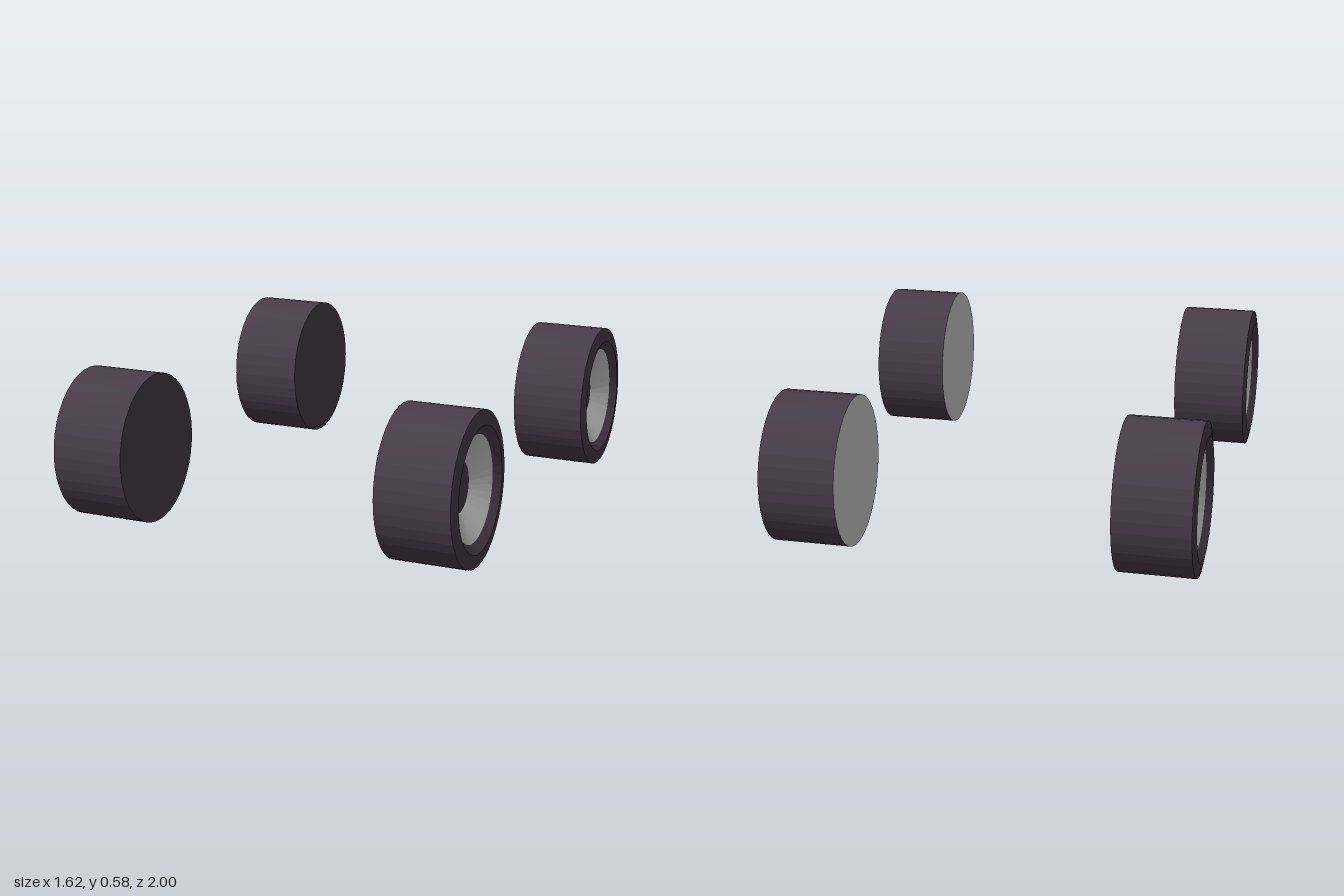
import * as THREE from 'three';

const SEGMENTS = 40;
const RADIUS = 0.29;      // vertical radius
const DEPTH_RADIUS = 0.27; // wheels are slightly oval along z

const rubber = new THREE.MeshStandardMaterial({ color: 0x463d48, flatShading: true });
const metal = new THREE.MeshStandardMaterial({ color: 0xcccccc, flatShading: true });

// Surface of revolution from [radius, distance along axle] pairs
function turned(name, profile, material) {
  const points = profile.map(([r, d]) => new THREE.Vector2(r, d));
  const mesh = new THREE.Mesh(new THREE.LatheGeometry(points, SEGMENTS), material);
  mesh.name = name;
  return mesh;
}

function createWheel(side, z, name) {
  const wheel = new THREE.Group();
  wheel.name = name;
  wheel.add(
    // Tread, bevelled sidewall and inner lip
    turned('tire', [[RADIUS, 0.51], [RADIUS, 0.80], [0.235, 0.81], [0.2, 0.785]], rubber),
    // Conical dish and the flat disc at its bottom
    turned('rimDish', [[0.2, 0.785], [0.095, 0.73]], metal),
    turned('hub', [[0.095, 0.73], [0, 0.73]], rubber),
    // Closed inner face, bare on the left wheels
    turned('innerFace', [[0, 0.51], [RADIUS, 0.51]], side > 0 ? metal : rubber)
  );
  // Axle along x, outer face away from the centre
  wheel.rotation.z = -side * Math.PI / 2;
  wheel.scale.z = DEPTH_RADIUS / RADIUS;
  wheel.position.set(0, RADIUS, z);
  return wheel;
}

export function createModel() {
  const model = new THREE.Group();
  model.name = 'wheelSet';
  for (const [sideName, side] of [['Left', 1], ['Right', -1]]) {
    for (const [endName, end] of [['front', 1], ['rear', -1]]) {
      model.add(createWheel(side, end * 0.73, `${endName}${sideName}Wheel`));
    }
  }
  return model;
}
